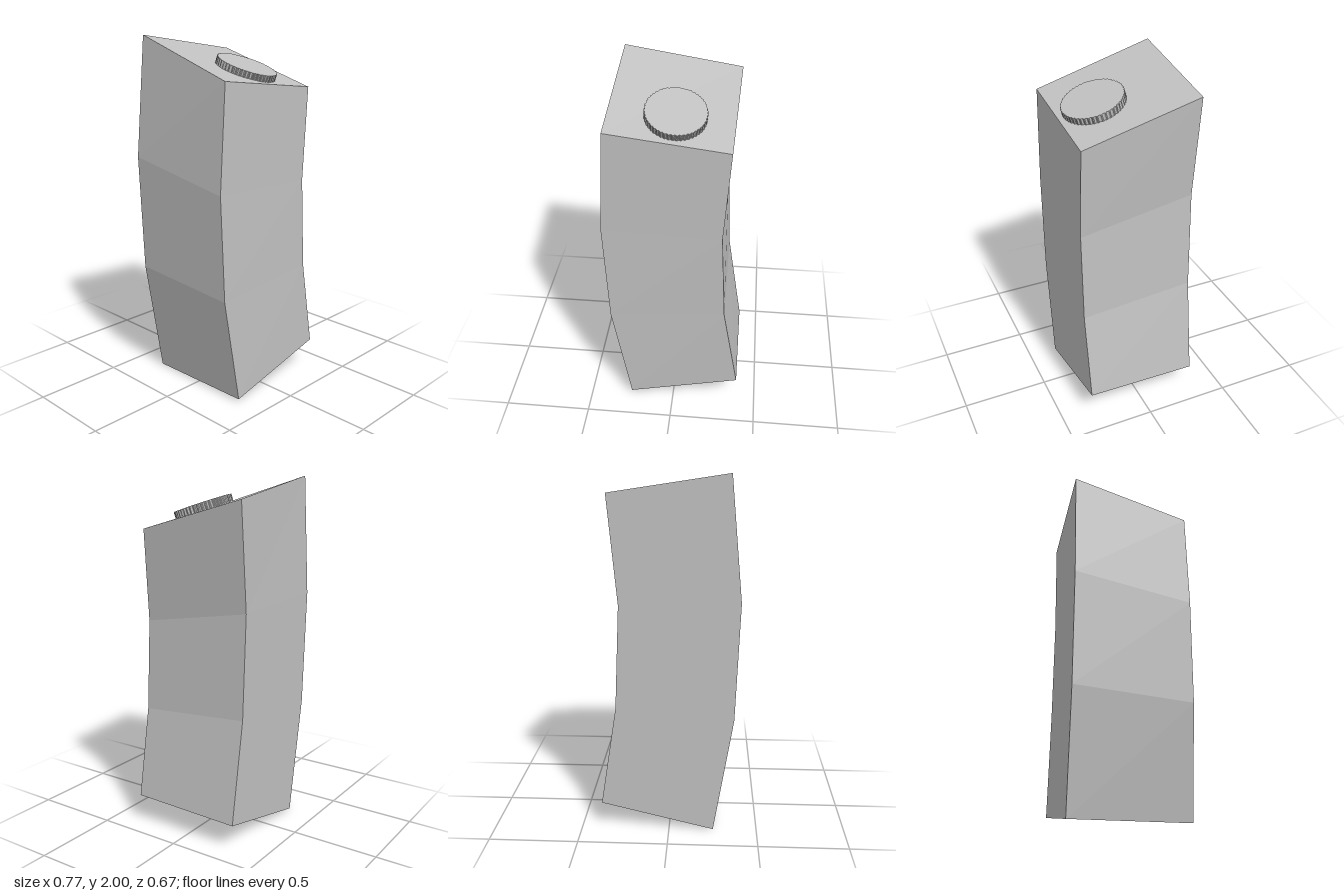
import * as THREE from 'three';

// Corner rings, bottom to top: front -x, front +x, back +x, back -x
const RINGS = [
  [[-0.255, 0.015, 0.333], [0.385, 0.165, 0.33], [0.385, 0.15, -0.32], [-0.252, 0, -0.323]],
  [[-0.36, 0.63, 0.327], [0.295, 0.68, 0.33], [0.295, 0.73, -0.325], [-0.36, 0.67, -0.33]],
  [[-0.385, 1.22, 0.322], [0.268, 1.2, 0.327], [0.27, 1.31, -0.327], [-0.385, 1.33, -0.334]],
  [[-0.35, 1.8, 0.322], [0.302, 1.72, 0.325], [0.325, 1.9, -0.329], [-0.323, 2, -0.333]],
];

// Bent square column with flat faces
function makeColumn() {
  const pos = [];
  const quad = (a, b, c, d) => pos.push(...a, ...b, ...c, ...a, ...c, ...d);
  for (let r = 0; r < RINGS.length - 1; r++) {
    const lo = RINGS[r], hi = RINGS[r + 1];
    for (let i = 0; i < 4; i++) {
      const j = (i + 1) % 4;
      quad(lo[i], lo[j], hi[j], hi[i]);
    }
  }
  quad(...RINGS[RINGS.length - 1]);
  quad(...[...RINGS[0]].reverse());
  const geo = new THREE.BufferGeometry();
  geo.setAttribute('position', new THREE.Float32BufferAttribute(pos, 3));
  geo.computeVertexNormals();
  return geo;
}

// Knurled disc lying in the xz plane, its top face at y = 0
function makeDisc(rx, rz, thickness, teeth) {
  const points = [];
  for (let i = 0; i < teeth * 4; i++) {
    const a = (i / (teeth * 4)) * Math.PI * 2;
    const k = i % 4 < 2 ? 1 : 0.975;
    points.push(new THREE.Vector2(Math.cos(a) * rx * k, Math.sin(a) * rz * k));
  }
  const geo = new THREE.ExtrudeGeometry(new THREE.Shape(points), { depth: thickness, bevelEnabled: false });
  geo.translate(0, 0, -thickness);
  geo.rotateX(-Math.PI / 2);
  return geo;
}

export function createModel() {
  const group = new THREE.Group();
  const grey = new THREE.MeshStandardMaterial({ color: 0xc0c0c0 });
  grey.name = 'light grey';

  const column = new THREE.Mesh(makeColumn(), grey);
  column.name = 'bentColumn';

  // Round button tilted with the sloping top
  const button = new THREE.Mesh(makeDisc(0.163, 0.174, 0.05, 48), grey);
  button.name = 'knurledButton';
  button.position.set(0.004, 1.85, 0.14);
  button.quaternion.setFromUnitVectors(
    new THREE.Vector3(0, 1, 0),
    new THREE.Vector3(0.11, 1, 0.31).normalize()
  );

  group.add(column, button);
  return group;
}
